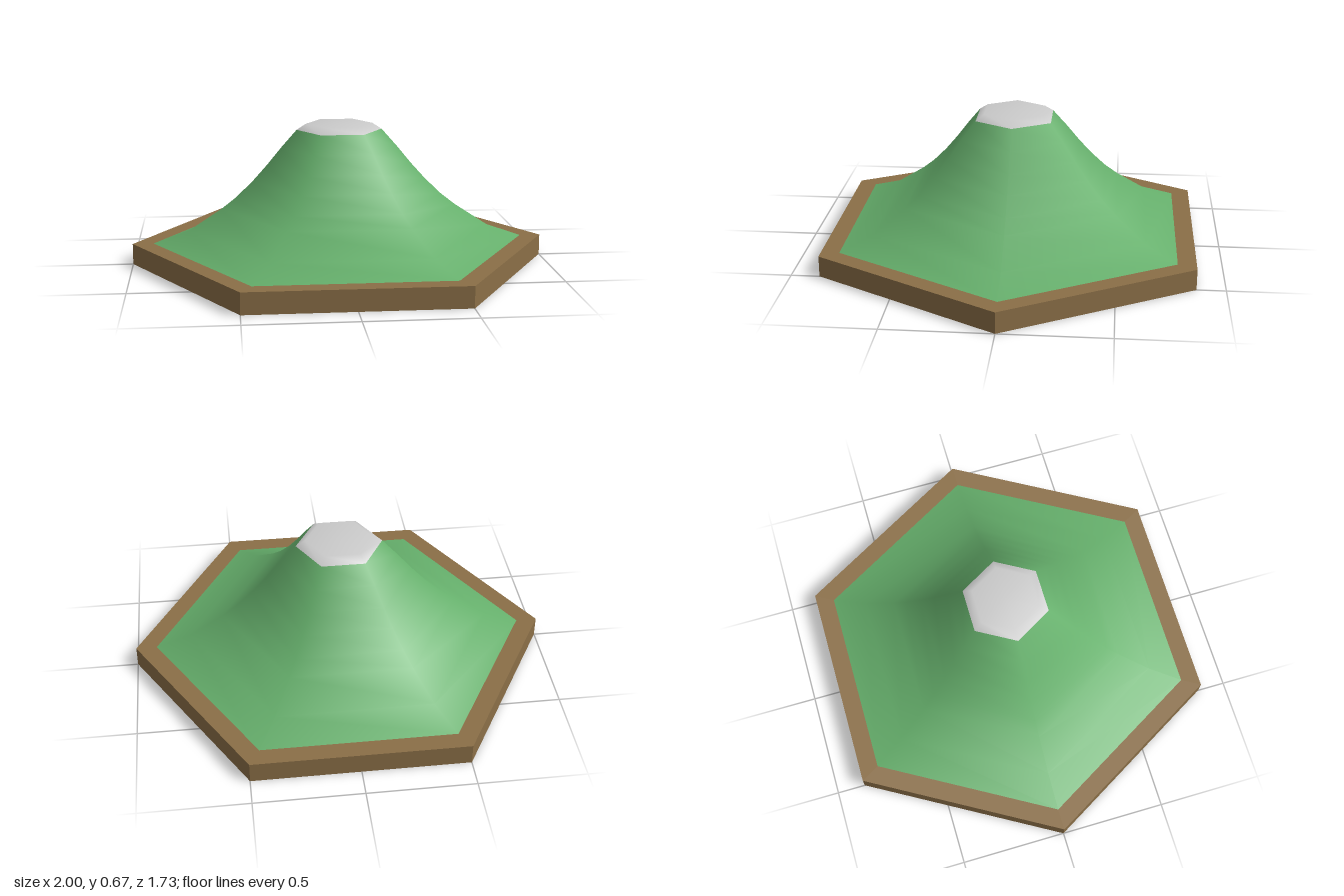
import * as THREE from 'three';

const SIDES = 6;
const START = Math.PI / 6; // puts two corners on the x axis

// Smooth six-sided surface from a [radius, height] profile, bottom to top
function hexLathe(name, profile, color) {
  const points = profile.map(([r, y]) => new THREE.Vector2(r, y));
  const mesh = new THREE.Mesh(
    new THREE.LatheGeometry(points, SIDES, START),
    new THREE.MeshStandardMaterial({ color, side: THREE.DoubleSide })
  );
  mesh.name = name;
  return mesh;
}

export function createModel() {
  const model = new THREE.Group();
  model.name = 'mountainTile';

  // Flat hexagonal earth tile
  const base = new THREE.Mesh(
    new THREE.CylinderGeometry(1, 1, 0.1, SIDES, 1, false, START),
    new THREE.MeshStandardMaterial({ color: 0x8b6f47, flatShading: true })
  );
  base.name = 'base';
  base.position.y = 0.05;
  model.add(base);

  // Grassy slope, flaring out towards the foot
  model.add(hexLathe('slope', [
    [0.9, 0.1], [0.73, 0.16], [0.57, 0.265], [0.5, 0.32],
    [0.42, 0.397], [0.35, 0.475], [0.28, 0.56], [0.205, 0.645],
  ], 0x66b06c));

  // Grey summit with a bevelled rim
  model.add(hexLathe('summit', [[0.205, 0.645], [0.16, 0.674], [0, 0.674]], 0xcccccc));

  return model;
}
